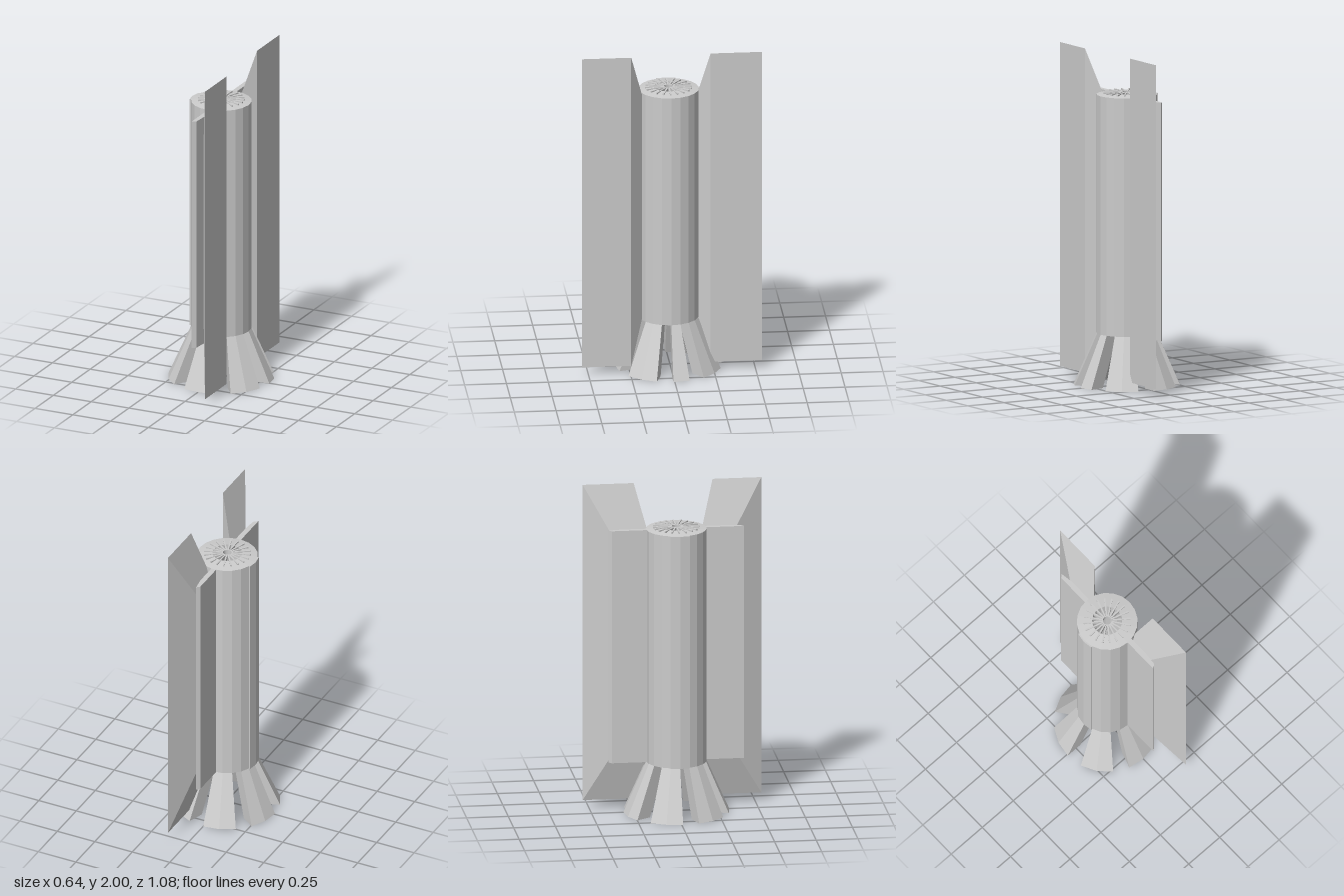
import * as THREE from 'three';
import { ConvexGeometry } from 'three/addons/geometries/ConvexGeometry.js';

const material = new THREE.MeshStandardMaterial({ color: 0xcccccc, flatShading: true });
const SIDES = 20;
const STEP = (Math.PI * 2) / SIDES;
const CENTRE_Z = 0.008;

function add(parent, name, geometry) {
  const mesh = new THREE.Mesh(geometry, material);
  mesh.name = name;
  parent.add(mesh);
  return mesh;
}

// One flat facet of a ring: a cross-section of [radius, y] points swept over one step.
function facet(profile, k) {
  const points = [];
  for (const a of [k * STEP, (k + 1) * STEP])
    for (const [r, y] of profile)
      points.push(new THREE.Vector3(r * Math.cos(a), y, r * Math.sin(a)));
  return new ConvexGeometry(points);
}

// Solid flaring from a small inner face to a large outer face, each at constant x.
function flare(inner, outer) {
  const points = [];
  for (const f of [inner, outer])
    for (const y of f.y)
      for (const z of f.z) points.push(new THREE.Vector3(f.x, y, z));
  return new ConvexGeometry(points);
}

// Upright prism from a plan outline of [x, z] points.
function upright(outline, y0, y1) {
  const points = [];
  for (const y of [y0, y1])
    for (const [x, z] of outline) points.push(new THREE.Vector3(x, y, z));
  return new ConvexGeometry(points);
}

export function createModel() {
  const model = new THREE.Group();
  const hull = new THREE.Group();
  hull.name = 'hull';
  hull.position.z = CENTRE_Z;
  model.add(hull);

  // Hollow faceted body with a slightly raised top
  const profile = [[0.09, 0.31], [0.181, 0.31], [0.181, 1.745], [0.09, 1.757], [0.09, 0.31]];
  add(hull, 'body', new THREE.LatheGeometry(profile.map(([r, y]) => new THREE.Vector2(r, y)), SIDES));

  // Radial vanes in the top opening
  for (let i = 0; i < SIDES; i++) {
    const vane = new THREE.Group();
    vane.name = 'topVane';
    vane.rotation.y = i * STEP;
    add(vane, 'vane', new THREE.BoxGeometry(0.115, 0.03, 0.009)).position.set(0.083, 1.745, 0);
    hull.add(vane);
  }

  // Flared skirt with every third facet left open
  const petal = [[0.09, 0.31], [0.181, 0.31], [0.318, 0], [0.215, 0]];
  for (let k = 0; k < SIDES; k++)
    if (k % 3 !== 0) add(hull, 'skirtPetal', facet(petal, k));

  // Thin raised panel on the right side
  const panel = [[0.17, 0.31], [0.19, 0.31], [0.19, 1.745], [0.17, 1.745]];
  for (const k of [9, 10]) add(hull, 'sidePanel', facet(panel, k));

  // Thin upright blades at front and back
  add(model, 'frontBlade', upright([[0, 0.15], [0, 0.415], [0.025, 0.395], [0.032, 0.31], [0.032, 0.15]], 0.31, 1.745));
  add(model, 'backBlade', upright([[-0.016, -0.14], [-0.016, -0.38], [0.003, -0.397], [0.015, -0.32], [0.015, -0.14]], 0.31, 1.745));

  // Wide fins flaring out to the left of each blade
  add(model, 'frontFin', flare(
    { x: 0.03, y: [0.44, 1.61], z: [0.14, 0.31] },
    { x: 0.15, y: [0.05, 2], z: [0.245, 0.538] }));
  add(model, 'backFin', flare(
    { x: 0.015, y: [0.44, 1.61], z: [-0.13, -0.32] },
    { x: 0.12, y: [0.05, 2], z: [-0.232, -0.538] }));

  return model;
}
